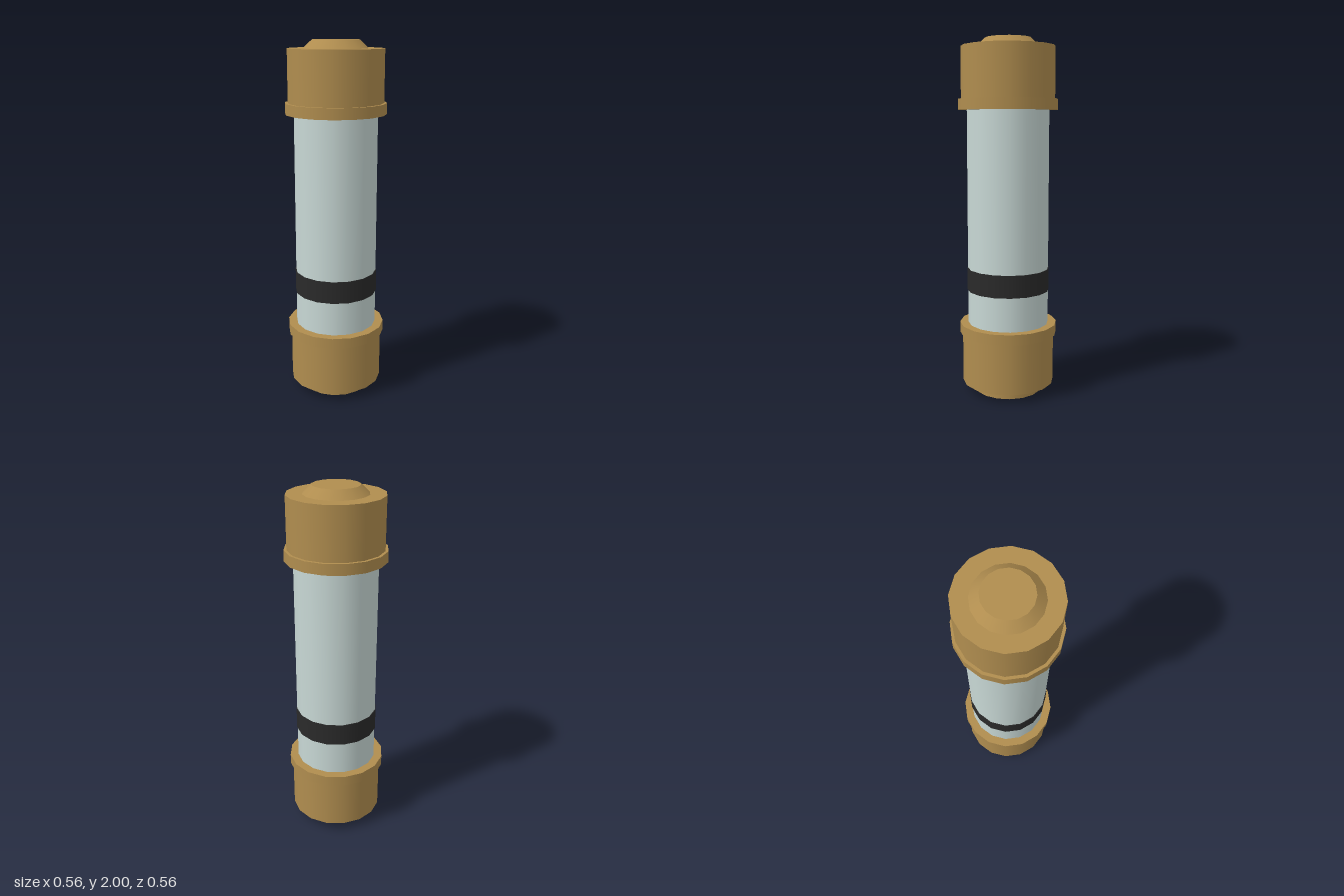
import * as THREE from 'three';

const SIDES = 16;

export function createModel() {
  const brass = new THREE.MeshStandardMaterial({ color: 0xb08d4f });
  brass.name = 'brass';
  const glass = new THREE.MeshStandardMaterial({ color: 0xc8d8d5 });
  glass.name = 'pale glass';
  const black = new THREE.MeshStandardMaterial({ color: 0x2a2a2a });
  black.name = 'black band';

  const model = new THREE.Group();
  model.name = 'cartridgeFuse';

  // Upright drum between two heights, optionally tapered
  function drum(parent, name, material, y0, y1, rBottom, rTop = rBottom) {
    const geometry = new THREE.CylinderGeometry(rTop, rBottom, y1 - y0, SIDES);
    const mesh = new THREE.Mesh(geometry, material);
    mesh.position.y = (y0 + y1) / 2;
    mesh.name = name;
    parent.add(mesh);
  }

  // Glass tube with its painted band
  drum(model, 'glassTube', glass, 0.36, 1.65, 0.23);
  drum(model, 'markingBand', black, 0.592, 0.718, 0.234);

  // Lower cap: contact disc, body and flange
  const lowerCap = new THREE.Group();
  lowerCap.name = 'lowerCap';
  drum(lowerCap, 'contactDisc', brass, 0, 0.06, 0.19);
  drum(lowerCap, 'capBody', brass, 0.052, 0.36, 0.262);
  drum(lowerCap, 'capFlange', brass, 0.34, 0.4, 0.278);

  // Upper cap: flange, body and bevelled contact
  const upperCap = new THREE.Group();
  upperCap.name = 'upperCap';
  drum(upperCap, 'capFlange', brass, 1.61, 1.67, 0.278);
  drum(upperCap, 'capBody', brass, 1.65, 1.955, 0.262);
  drum(upperCap, 'bevelledContact', brass, 1.955, 2, 0.175, 0.127);

  model.add(lowerCap, upperCap);
  return model;
}
